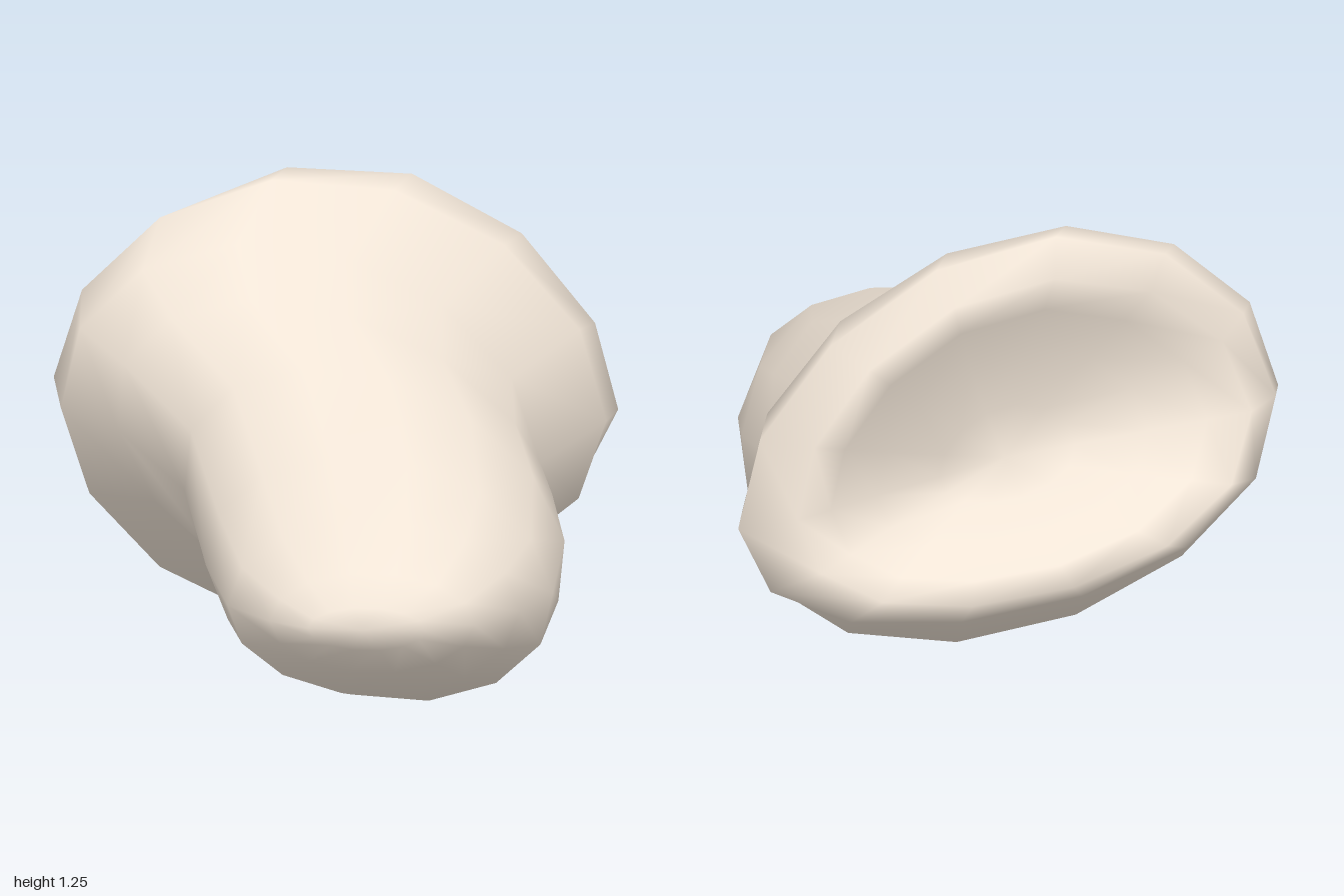
import * as THREE from 'three';

const SIDES = 14;

// Cross-sections from the rounded tip back to the rim: centre, half-width
// vector (toward +x), half-height vector (upward), optional saddle bends
const sections = [
  { c: [0.22, 0.32, 0.985], a: [0.16, 0, 0], b: [0, 0.06, 0] },
  { c: [0.23, 0.32, 0.91], a: [0.28, 0, 0], b: [0, 0.14, 0] },
  { c: [0.22, 0.325, 0.75], a: [0.4, 0, 0], b: [0, 0.245, 0] },
  { c: [0.21, 0.34, 0.46], a: [0.475, -0.03, 0], b: [-0.03, 0.34, 0] },
  { c: [0.17, 0.445, 0.15], a: [0.52, -0.06, 0], b: [-0.08, 0.4, 0] },
  { c: [0.04, 0.535, -0.1], a: [0.59, -0.09, -0.05], b: [-0.1, 0.44, 0] },
  { c: [-0.07, 0.565, -0.28], a: [0.65, -0.08, -0.07], b: [-0.03, 0.53, 0] },
  { c: [-0.01, 0.645, -0.54], a: [0.74, -0.09, -0.185], b: [0.01, 0.56, 0.07], k: [0, -0.03, 0.025] },
  { c: [0.005, 0.69, -0.69], a: [0.745, -0.09, -0.22], b: [0.03, 0.485, 0.13], k: [0, -0.075, 0.065], s: [0, 0, -0.03] },
];

// Crest of the thick rounded rim around the hollow at the back
const crest = { c: [-0.02, 0.7, -0.78], a: [0.63, -0.06, -0.21], b: [0.02, 0.41, 0.12], k: [-0.02, -0.07, 0.09], s: [0, 0, -0.04] };
const inward = new THREE.Vector3(0.2, -0.41, 0.89);

// Crest copies that shrink and sink to form the dish: [scale, depth]
const dish = [[1, 0], [0.83, 0.05], [0.6, 0.11], [0.3, 0.15]];

const vec = (p) => new THREE.Vector3(...p);

function ring({ c, a, b, k = [0, 0, 0], s = [0, 0, 0] }, scale = 1, depth = 0) {
  return Array.from({ length: SIDES }, (_, j) => {
    const t = (j / SIDES) * Math.PI * 2;
    return vec(c)
      .addScaledVector(inward, depth)
      .addScaledVector(vec(a), Math.cos(t) * scale)
      .addScaledVector(vec(b), Math.sin(t) * scale)
      .addScaledVector(vec(k), Math.cos(2 * t) * scale)
      .addScaledVector(vec(s), Math.sin(2 * t) * scale);
  });
}

// Skin a list of rings, closing both ends with a single point
function skin(rings, start, end) {
  const points = [start, ...rings.flat(), end];
  const last = points.length - 1;
  const at = (i, j) => 1 + i * SIDES + (j % SIDES);
  const index = [];
  for (let j = 0; j < SIDES; j++) {
    index.push(0, at(0, j), at(0, j + 1));
    for (let i = 0; i < rings.length - 1; i++) {
      index.push(at(i, j), at(i + 1, j), at(i, j + 1));
      index.push(at(i + 1, j), at(i + 1, j + 1), at(i, j + 1));
    }
    index.push(at(rings.length - 1, j), last, at(rings.length - 1, j + 1));
  }
  const geometry = new THREE.BufferGeometry().setFromPoints(points);
  geometry.setIndex(index);
  geometry.computeVertexNormals();
  return geometry;
}

export function createModel() {
  const group = new THREE.Group();
  group.name = 'bone';

  const rings = [
    ...sections.map((section) => ring(section)),
    ...dish.map(([scale, depth]) => ring(crest, scale, depth)),
  ];
  const tip = new THREE.Vector3(0.21, 0.32, 1);
  const dishCentre = vec(crest.c).addScaledVector(inward, 0.16);

  const body = new THREE.Mesh(
    skin(rings, tip, dishCentre),
    new THREE.MeshStandardMaterial({ color: 0xf0e4d6 })
  );
  body.name = 'boneBody';
  group.add(body);
  return group;
}
